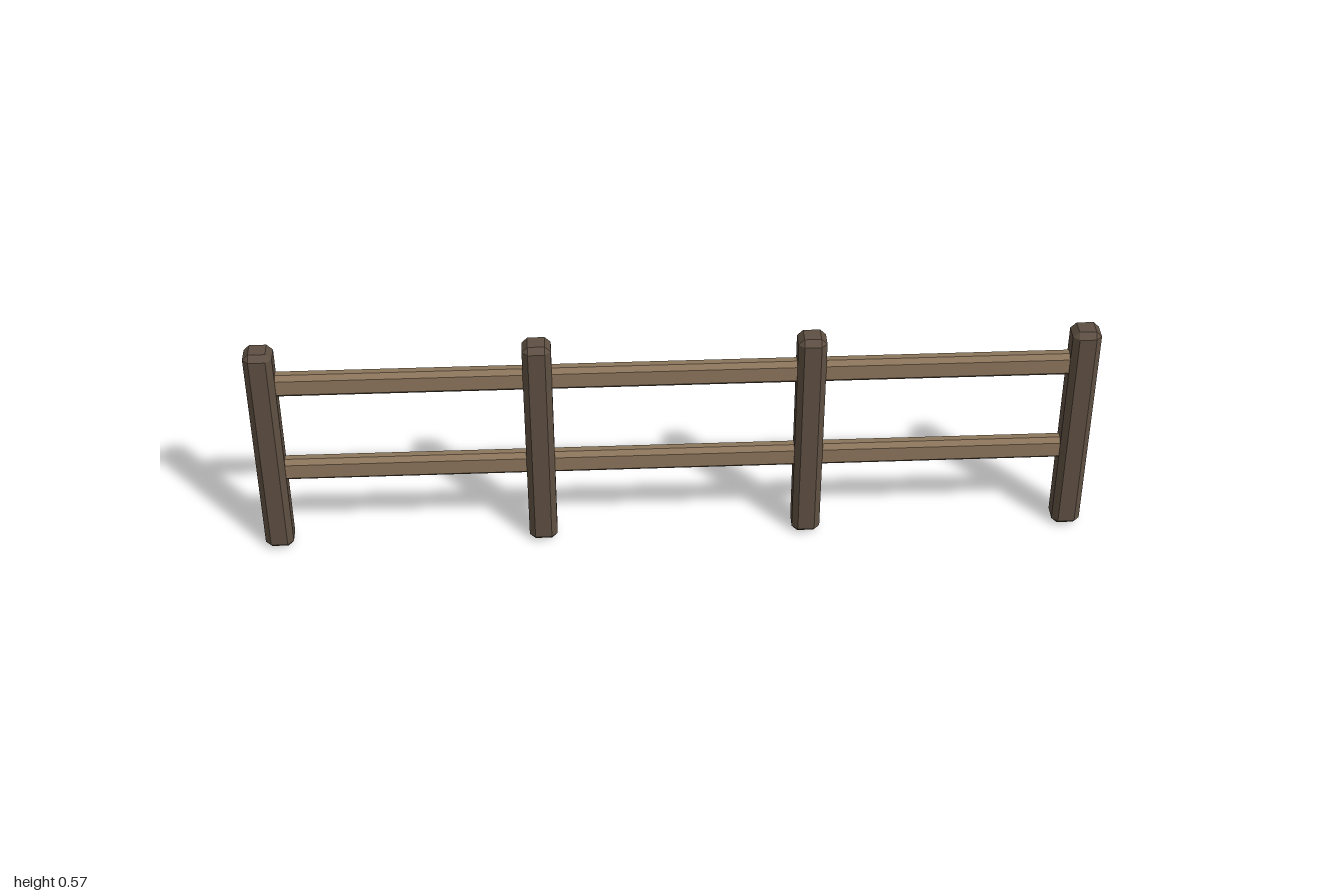
import * as THREE from 'three';
import { ConvexGeometry } from 'three/addons/geometries/ConvexGeometry.js';

// Box with every edge cut by a flat chamfer c
function chamferedBox(w, h, d, c) {
  const half = [w / 2, h / 2, d / 2];
  const points = [];
  for (const sx of [-1, 1]) for (const sy of [-1, 1]) for (const sz of [-1, 1]) {
    // each corner becomes three points, one on each adjoining face
    for (let face = 0; face < 3; face++) {
      const p = half.map((v, axis) => (axis === face ? v : v - c));
      points.push(new THREE.Vector3(sx * p[0], sy * p[1], sz * p[2]));
    }
  }
  return new ConvexGeometry(points);
}

export function createModel() {
  const fence = new THREE.Group();
  fence.name = 'fence';
  const postMaterial = new THREE.MeshStandardMaterial({ color: 0x5e4f42, flatShading: true });
  const railMaterial = new THREE.MeshStandardMaterial({ color: 0x8c755b, flatShading: true });

  // Four evenly spaced posts
  const postHeight = 0.573;
  const postGeometry = chamferedBox(0.068, postHeight, 0.068, 0.014);
  for (let i = 0; i < 4; i++) {
    const post = new THREE.Mesh(postGeometry, postMaterial);
    post.name = `post${i + 1}`;
    post.position.set(-0.966 + i * 0.644, postHeight / 2, 0);
    fence.add(post);
  }

  // Two rails running through the posts, ending inside the outer ones
  const railGeometry = chamferedBox(1.93, 0.06, 0.038, 0.011);
  for (const [name, y] of [['lowerRail', 0.227], ['upperRail', 0.474]]) {
    const rail = new THREE.Mesh(railGeometry, railMaterial);
    rail.name = name;
    rail.position.y = y;
    fence.add(rail);
  }
  return fence;
}
